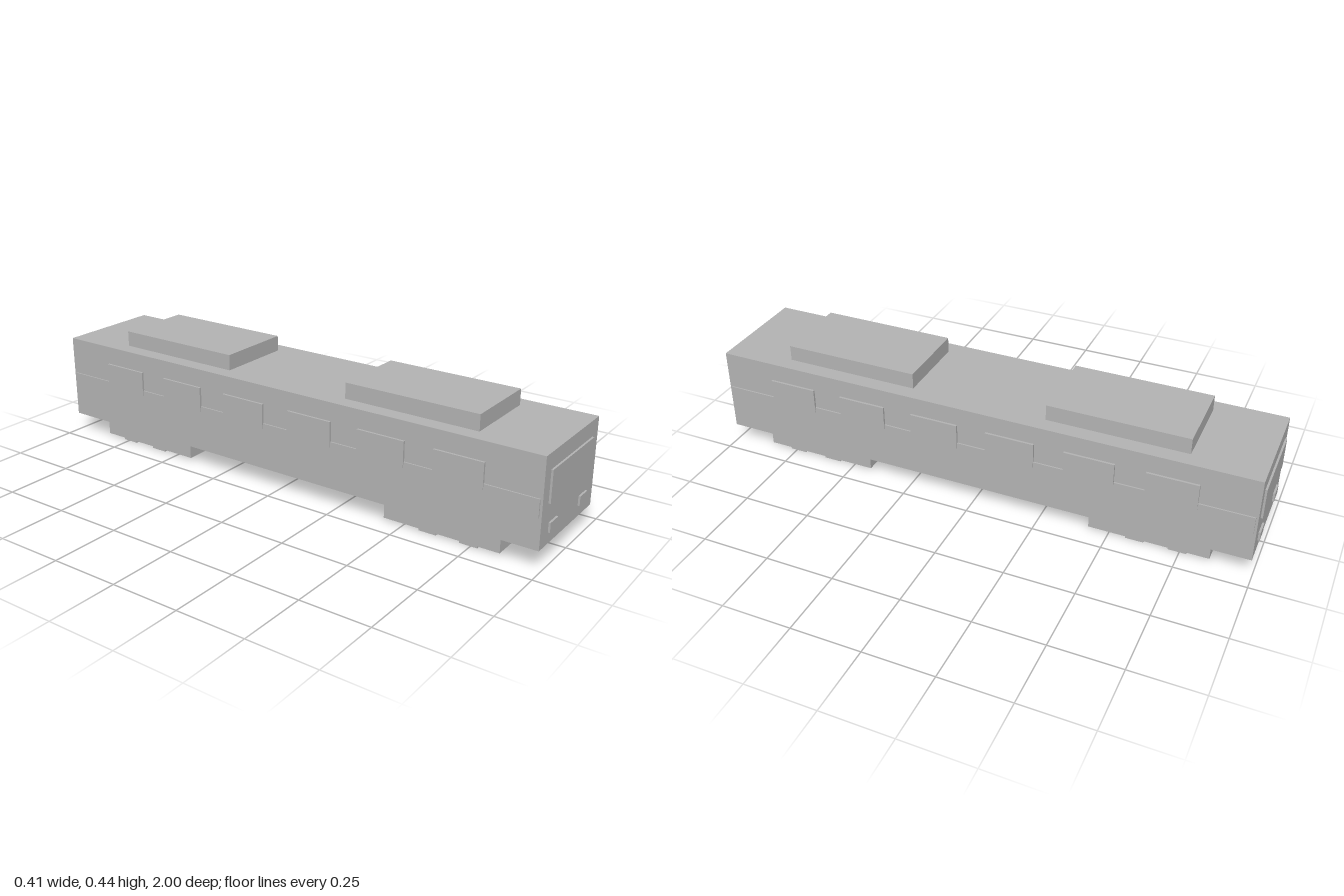
import * as THREE from 'three';

export function createModel() {
  const model = new THREE.Group();
  model.name = 'railCar';
  const grey = new THREE.MeshStandardMaterial({ color: 0xb2b2b2 });
  grey.name = 'plain grey';

  // Box given by its limits along each axis
  function box(name, [x0, x1], [y0, y1], [z0, z1]) {
    const mesh = new THREE.Mesh(new THREE.BoxGeometry(x1 - x0, y1 - y0, z1 - z0), grey);
    mesh.position.set((x0 + x1) / 2, (y0 + y1) / 2, (z0 + z1) / 2);
    mesh.name = name;
    model.add(mesh);
  }
  // Limits of a span on the positive or negative side
  const span = (side, a, b) => (side > 0 ? [a, b] : [-b, -a]);

  box('body', [-0.199, 0.199], [0.072, 0.384], [-0.993, 0.993]);

  for (const end of [1, -1]) {
    // Roof equipment and bogie
    box('roofUnit', [-0.142, 0.142], [0.384, 0.441], span(end, 0.248, 0.745));
    box('bogie', [-0.17, 0.17], [0.008, 0.065], span(end, 0.427, 0.853));

    // Cab end: windscreen and lamps
    box('windscreen', [-0.156, 0.156], [0.215, 0.327], span(end, 0.992, 1));
    for (const side of [1, -1]) {
      box('lamp', span(side, 0.086, 0.142), [0.112, 0.146], span(end, 0.992, 1));

      // Wheel treads showing under the bogie
      for (const z of [0.592, 0.742]) {
        box('wheel', span(side, 0.145, 0.168), [0, 0.03], span(end, z - 0.032, z + 0.032));
      }
    }
  }

  // Body sides: long stripe with windows standing over it
  for (const side of [1, -1]) {
    box('stripe', span(side, 0.198, 0.204), [0.182, 0.245], [-0.985, 0.985]);
    for (let i = 0; i < 6; i++) {
      const z = (i - 2.5) * 0.284;
      box('sideWindow', span(side, 0.198, 0.207), [0.225, 0.317], [z - 0.089, z + 0.089]);
    }
  }
  return model;
}
